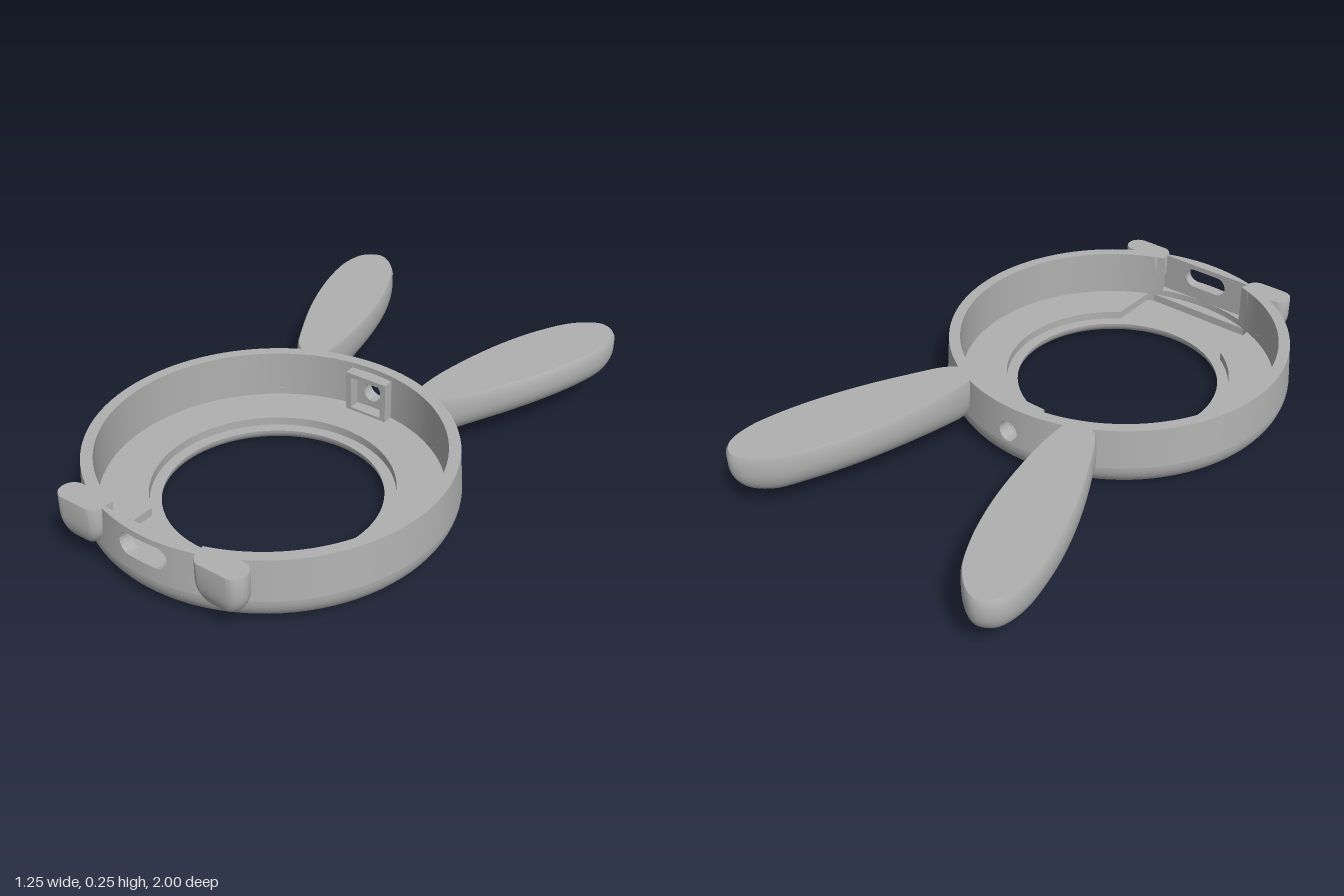
import * as THREE from 'three';
import { toCreasedNormals } from 'three/addons/utils/BufferGeometryUtils.js';

const CZ = 0.37;                       // ring centre in z
const TOP = 0.245, SILL = 0.1;         // top rim and start of the upright wall
const R_IN = 0.575, R_OUT = 0.625;
const V = (x, y, z) => new THREE.Vector3(x, y, z);

// Skin a list of closed cross-sections; optional four-sided end caps
function loft(rings, caps = false) {
  const n = rings[0].length, pos = [], idx = [];
  rings.forEach(r => r.forEach(p => pos.push(p.x, p.y, p.z)));
  for (let i = 0; i < rings.length - 1; i++) {
    for (let j = 0; j < n; j++) {
      const a = i * n + j, b = i * n + (j + 1) % n, c = b + n, d = a + n;
      idx.push(a, d, c, a, c, b);
    }
  }
  if (caps) {
    const e = (rings.length - 1) * n;
    idx.push(0, 1, 2, 0, 2, 3, e, e + 2, e + 1, e, e + 3, e + 2);
  }
  const g = new THREE.BufferGeometry();
  g.setAttribute('position', new THREE.Float32BufferAttribute(pos, 3));
  g.setIndex(idx);
  return toCreasedNormals(g, 0.6);
}

// Arc of upright wall; lo, hi and inner radius may vary with the angle
const outer = y => R_OUT - 0.01 * (y - SILL) / (TOP - SILL);
function wallArc(t0, t1, n, lo, hi, inner) {
  const rings = [];
  for (let i = 0; i <= n; i++) {
    const u = (1 - Math.cos(Math.PI * i / n)) / 2;
    const t = t0 + (t1 - t0) * u, a = lo(t), b = hi(t), r = inner(t);
    const at = (rad, y) => V(rad * Math.sin(t), y, CZ + rad * Math.cos(t));
    rings.push([at(r, a), at(outer(a), a), at(outer(b), b), at(r, b)]);
  }
  return loft(rings, true);
}

// Outline shrunk towards a line segment, layer by layer from bottom to top
function pillow(outline, from, to, layers) {
  const axis = new THREE.Line3(from, to);
  const cores = outline.map(p => axis.closestPointToPoint(p, true, V(0, 0, 0)));
  return loft(layers.map(([k, y]) => outline.map((p, j) => p.clone().lerp(cores[j], k).setY(y))));
}
function roundedLayers(bottom, height, depth, edge) {
  const layers = [[1, bottom]];
  for (let i = 0; i <= 10; i++) {
    const a = i / 10 * Math.PI / 2;
    layers.push([depth * (1 - Math.sin(a)), bottom + height * (1 - Math.cos(a))]);
  }
  layers.push([0, TOP - edge / 4], [edge, TOP], [1, TOP]);
  return layers;
}

export function createModel() {
  const group = new THREE.Group();
  const grey = new THREE.MeshStandardMaterial({ color: 0xb0b0b0 });
  grey.name = 'grey';
  const add = (name, geometry) => {
    const mesh = new THREE.Mesh(geometry, grey);
    mesh.name = name;
    group.add(mesh);
    return mesh;
  };

  // Base ring with rounded lower edges
  const profile = [];
  for (let i = 0; i <= 8; i++) {
    const a = i / 8 * Math.PI / 2;
    profile.push(new THREE.Vector2(0.42 - 0.05 * Math.cos(a), 0.045 - 0.045 * Math.sin(a)));
  }
  for (let i = 0; i <= 12; i++) {
    const a = i / 12 * Math.PI / 2;
    profile.push(new THREE.Vector2(0.525 + 0.1 * Math.sin(a), 0.1 - 0.1 * Math.cos(a)));
  }
  [[R_IN, SILL], [R_IN, 0.045], [0.37, 0.045]].forEach(p => profile.push(new THREE.Vector2(...p)));
  add('baseRing', toCreasedNormals(new THREE.LatheGeometry(profile, 96), 0.6)).position.z = CZ;

  // Raised floor, leaving a ledge round the opening and a channel to the front
  const floor = new THREE.Shape().absarc(0, 0, 0.592, 0, Math.PI * 2);
  const cut = new THREE.Path(), a0 = Math.acos(0.235 / 0.41);
  cut.moveTo(0.235, 0.535);
  cut.lineTo(0.235, 0.41 * Math.sin(a0));
  cut.absarc(0, 0, 0.41, a0, Math.PI - a0, true);
  cut.lineTo(-0.235, 0.535);
  cut.closePath();
  floor.holes.push(cut);
  const floorGeo = new THREE.ExtrudeGeometry(floor, { depth: 0.033, bevelEnabled: false, curveSegments: 96 });
  floorGeo.rotateX(Math.PI / 2);
  add('raisedFloor', toCreasedNormals(floorGeo, 0.6)).position.set(0, 0.075, CZ);

  // Upright wall, with a flat pocket and cable port in front and a round hole behind
  const low = () => SILL, high = () => TOP, round = () => R_IN;
  const flat = t => R_IN / Math.cos(t);
  const pocket = 0.319, port = 0.154, hole = 0.06;
  const portHalf = t => {
    const x = Math.max(0, Math.abs(t) / port * 0.095 - 0.0575);
    return Math.sqrt(Math.max(0, 0.0375 ** 2 - x * x));
  };
  const holeHalf = t => 0.038 * Math.sqrt(Math.max(0, 1 - ((t - Math.PI) / hole) ** 2));
  add('leftWall', wallArc(pocket, Math.PI - hole, 64, low, high, round));
  add('rightWall', wallArc(Math.PI + hole, 2 * Math.PI - pocket, 64, low, high, round));
  add('leftPocketWall', wallArc(port, pocket, 6, low, high, flat));
  add('rightPocketWall', wallArc(-pocket, -port, 6, low, high, flat));
  add('wallBelowPort', wallArc(-port, port, 32, low, t => 0.1875 - portHalf(t), flat));
  add('wallAbovePort', wallArc(-port, port, 32, t => 0.1875 + portHalf(t), high, flat));
  add('wallBelowHole', wallArc(Math.PI - hole, Math.PI + hole, 24, low, t => 0.148 - holeHalf(t), round));
  add('wallAboveHole', wallArc(Math.PI - hole, Math.PI + hole, 24, t => 0.148 + holeHalf(t), high, round));

  // Square frame around the rear hole
  const rect = (s, x, y0, y1) => {
    s.moveTo(-x, y0); s.lineTo(x, y0); s.lineTo(x, y1); s.lineTo(-x, y1); s.closePath();
    return s;
  };
  const frame = rect(new THREE.Shape(), 0.085, 0.065, 0.225);
  frame.holes.push(rect(new THREE.Path(), 0.063, 0.085, 0.208));
  add('rearFrame', new THREE.ExtrudeGeometry(frame, { depth: 0.055, bevelEnabled: false })).position.z = -0.215;

  // Long ears and small feet, mirrored
  const ear = [
    [0.21, -0.185], [0.203, -0.27], [0.22, -0.42], [0.27, -0.64], [0.34, -0.82], [0.42, -0.945], [0.51, -1],
    [0.573, -0.965], [0.595, -0.87], [0.57, -0.71], [0.5, -0.51], [0.4, -0.31], [0.325, -0.19], [0.275, -0.16],
  ];
  const earCurve = new THREE.CatmullRomCurve3(ear.map(([x, z]) => V(x, 0, z)), true);
  const earOutline = earCurve.getPoints(84).slice(0, -1);
  const footOutline = [];
  for (let i = 0; i < 40; i++) {
    const a = i / 40 * Math.PI * 2, c = Math.cos(a);
    footOutline.push(V(0.2775 + Math.sign(c) * 0.0475 + 0.045 * c, 0, 0.945 + 0.045 * Math.sin(a)));
  }
  for (const [side, s] of [['left', 1], ['right', -1]]) {
    const mirror = pts => s > 0 ? pts : pts.map(p => V(-p.x, p.y, p.z)).reverse();
    add(side + 'Ear', pillow(mirror(earOutline), V(0.26 * s, 0, -0.24), V(0.465 * s, 0, -0.87),
      roundedLayers(0.085, 0.1, 0.75, 0.06)));
    const centre = V(0.2775 * s, 0, 0.945);
    add(side + 'Foot', pillow(mirror(footOutline), centre, centre.clone().setX(0.2776 * s),
      roundedLayers(0.085, 0.09, 1, 0.01)));
  }
  return group;
}
